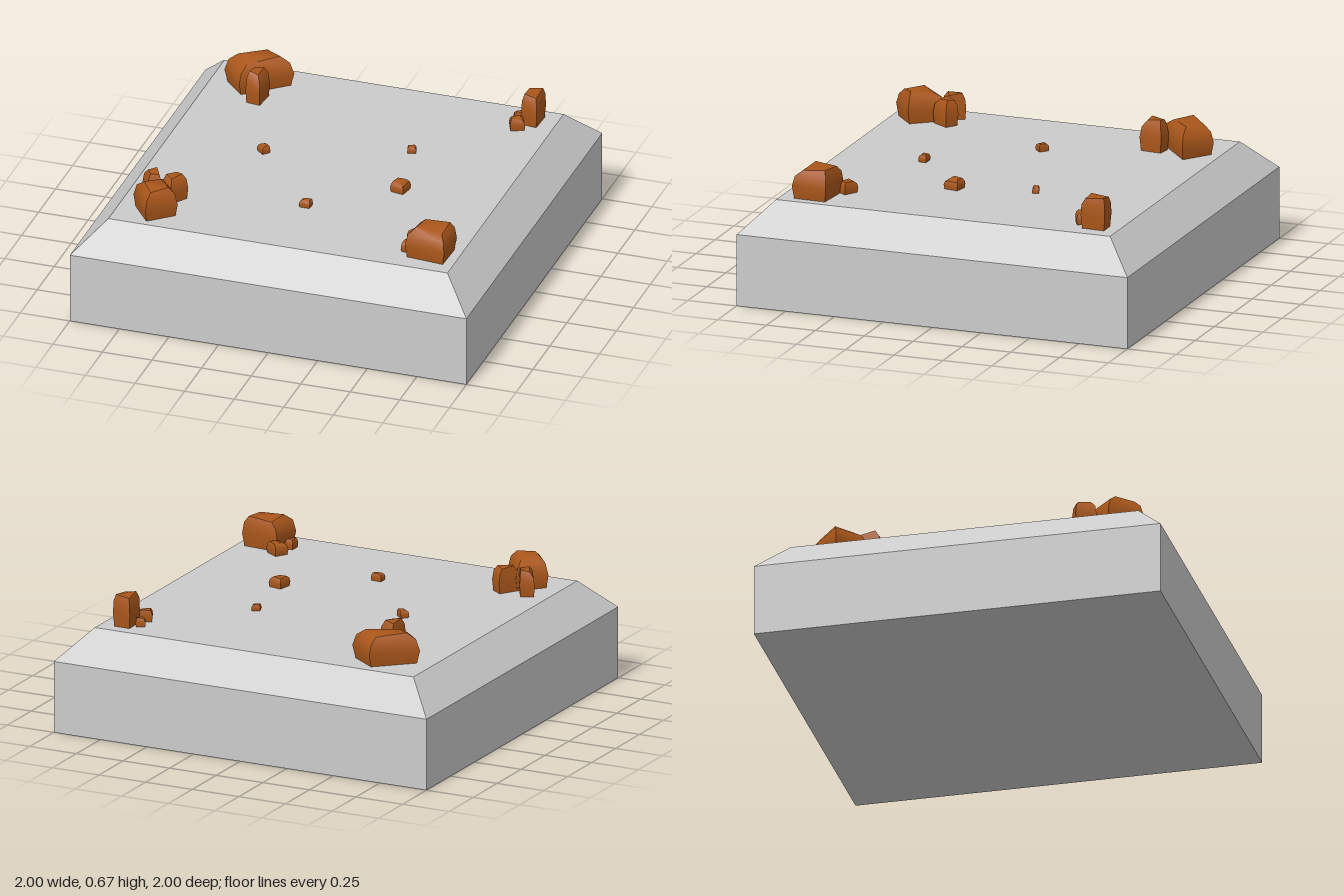
import * as THREE from 'three';
import { toCreasedNormals } from 'three/addons/utils/BufferGeometryUtils.js';

// Closed solid from stacked four-cornered rings, corners clockwise seen from above.
function loft(rings, crease) {
  const pos = rings.flat(2);
  const n = rings[0].length, last = (rings.length - 1) * n, index = [];
  for (let r = 0; r < rings.length - 1; r++) {
    for (let i = 0; i < n; i++) {
      const a = r * n + i, b = r * n + (i + 1) % n;
      index.push(a, b + n, b, a, a + n, b + n);
    }
  }
  for (let i = 1; i < n - 1; i++) {
    index.push(0, i, i + 1, last, last + i + 1, last + i);
  }
  const geo = new THREE.BufferGeometry();
  geo.setAttribute('position', new THREE.Float32BufferAttribute(pos, 3));
  geo.setIndex(index);
  return toCreasedNormals(geo, crease);
}

const TOP = 0.505;

// Rock on a footprint of corners [x, z]; its shoulders round off and its crown leans.
function rockGeometry(corners, height, [leanX, leanZ], crown) {
  const cx = corners.reduce((s, c) => s + c[0], 0) / corners.length;
  const cz = corners.reduce((s, c) => s + c[1], 0) / corners.length;
  const profile = [[-0.02, 0.9], [0.42, 1], [0.8, (1 + crown) / 2 + 0.08], [1, crown]];
  return loft(profile.map(([t, s]) => corners.map(([x, z], i) => {
    const dip = t > 0.5 && i % 2 ? 0.93 : 1;
    return [
      cx + (x - cx) * s + leanX * Math.max(t, 0) * (1 - s),
      TOP + height * t * dip,
      cz + (z - cz) * s + leanZ * Math.max(t, 0) * (1 - s),
    ];
  })), 0.65);
}

// Rotated rectangular footprint, slightly skewed.
function footprint(x, z, w, d, angle) {
  const c = Math.cos(angle), s = Math.sin(angle);
  return [[-0.5, 0.46], [-0.46, -0.5], [0.5, -0.46], [0.46, 0.5]].map(([u, v]) =>
    [x + u * w * c - v * d * s, z + u * w * s + v * d * c]);
}

export function createModel() {
  const group = new THREE.Group();
  const stone = new THREE.MeshStandardMaterial({ color: 0xcccccc });
  const brown = new THREE.MeshStandardMaterial({ color: 0xa9561a });
  const add = (name, geo, mat) => {
    const mesh = new THREE.Mesh(geo, mat);
    mesh.name = name;
    group.add(mesh);
  };

  // Square slab with a bevelled upper edge
  const square = (h, y) => [[-h, y, h], [-h, y, -h], [h, y, -h], [h, y, h]];
  add('slab', loft([square(1, 0), square(1, 0.355), square(0.855, TOP)], 0.3), stone);

  // Large rocks near the corners: footprint, height, lean, crown size
  const large = [
    [[[-0.785, -0.65], [-0.6, -0.82], [-0.455, -0.715], [-0.67, -0.53]], 0.15, [0, -0.02], 0.6],
    [[[-0.785, 0.69], [-0.675, 0.565], [-0.55, 0.725], [-0.675, 0.835]], 0.15, [0.02, 0.03], 0.55],
    [[[0.61, 0.77], [0.625, 0.6], [0.82, 0.615], [0.815, 0.79]], 0.15, [0.02, -0.04], 0.65],
    [[[0.7, -0.685], [0.695, -0.8], [0.785, -0.8], [0.78, -0.675]], 0.16, [0, -0.02], 0.75],
  ];
  large.forEach(([corners, h, lean, crown]) =>
    add('largeRock', rockGeometry(corners, h, lean, crown), brown));

  // Rocks leaning beside the large ones: x, z, width, depth, angle, height
  const side = [
    [-0.575, -0.525, 0.08, 0.12, 0.08, 0.16],
    [-0.735, 0.56, 0.075, 0.11, -0.55, 0.13],
    [-0.62, 0.56, 0.075, 0.11, 0.55, 0.13],
    [0.615, 0.585, 0.085, 0.075, 0.5, 0.06],
    [0.597, 0.695, 0.045, 0.06, 0, 0.05],
    [0.67, -0.735, 0.05, 0.035, -0.5, 0.045],
    [0.692, -0.645, 0.075, 0.055, -0.5, 0.06],
  ];
  // Pebbles scattered over the middle
  const pebbles = [
    [0.295, -0.257, 0.045, 0.035, -0.35, 0.032],
    [-0.375, -0.03, 0.055, 0.045, 0.7, 0.038],
    [0.37, 0.13, 0.075, 0.08, 0.15, 0.052],
    [-0.005, 0.43, 0.058, 0.042, 0, 0.038],
  ];
  for (const [name, list] of [['sideRock', side], ['pebble', pebbles]]) {
    list.forEach(([x, z, w, d, angle, h], i) => {
      const lean = [(i % 2 ? 0.2 : -0.2) * w, -0.15 * d];
      add(name, rockGeometry(footprint(x, z, w, d, angle), h, lean, 0.6), brown);
    });
  }
  return group;
}
